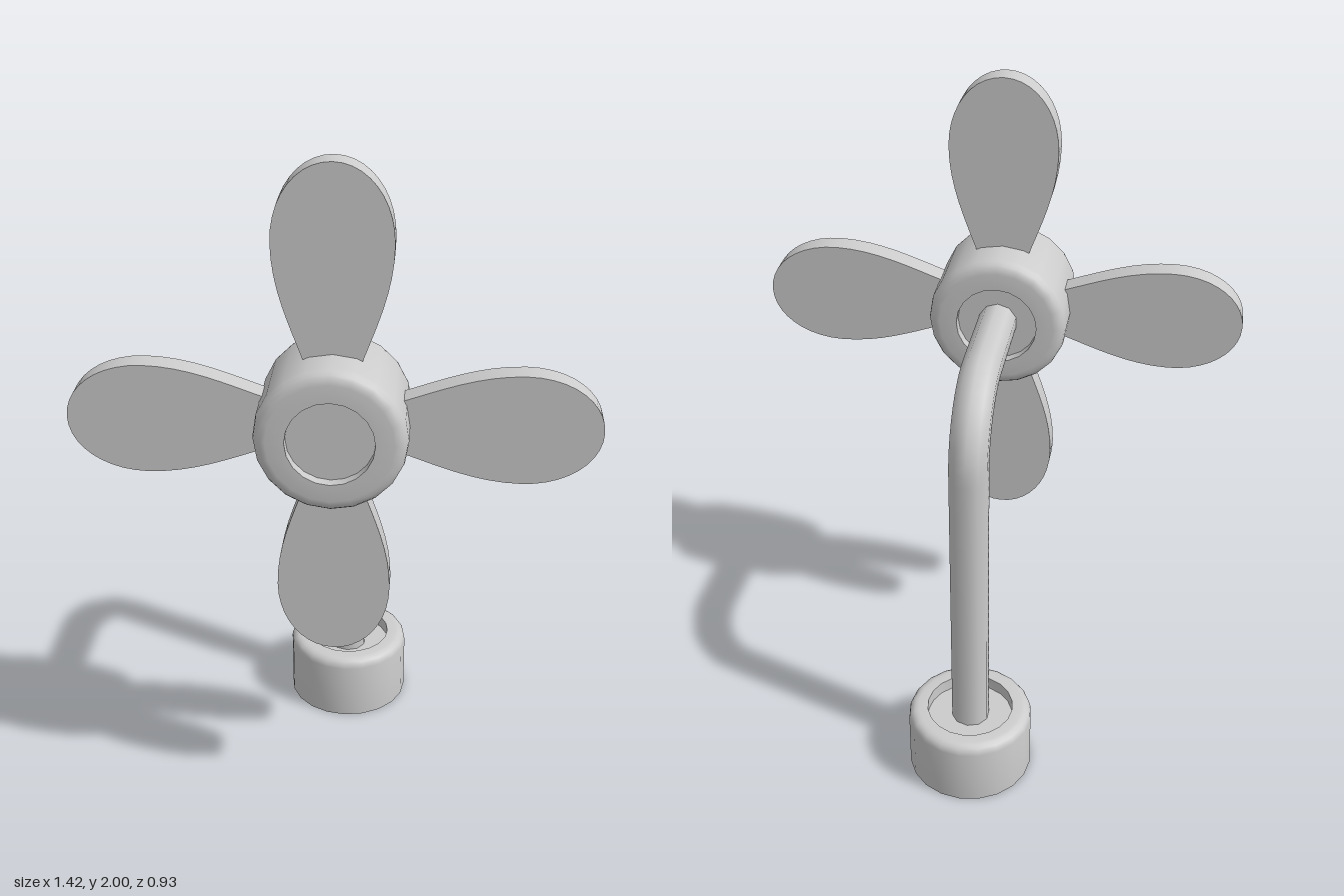
import * as THREE from 'three';
import { toCreasedNormals } from 'three/addons/utils/BufferGeometryUtils.js';

const HUB_Y = 1.292, POLE_Z = -0.27;

// Quarter-round corner points around (cx, cy)
function fillet(cx, cy, r, from, to, steps = 4) {
  return Array.from({ length: steps + 1 }, (_, i) => {
    const a = from + (to - from) * i / steps;
    return new THREE.Vector2(cx + r * Math.cos(a), cy + r * Math.sin(a));
  });
}

function lathe(points) {
  return toCreasedNormals(new THREE.LatheGeometry(points, 20), 0.6);
}

export function createModel() {
  const model = new THREE.Group();
  const grey = new THREE.MeshStandardMaterial({ color: 0xcccccc });
  grey.name = 'light grey';
  const add = (name, geometry, parent = model) => {
    const mesh = new THREE.Mesh(geometry, grey);
    mesh.name = name;
    parent.add(mesh);
    return mesh;
  };
  const v2 = (x, y) => new THREE.Vector2(x, y);
  const v3 = (y, z) => new THREE.Vector3(0, y, z);

  // Round base with a recessed top
  const base = add('base', lathe([
    v2(0, 0), v2(0.188, 0),
    ...fillet(0.158, 0.182, 0.03, 0, Math.PI / 2),
    v2(0.13, 0.212), v2(0.13, 0.172), v2(0, 0.172),
  ]));
  base.position.z = -0.278;

  // Bent pole: straight up, round bend, forward into the hub
  const bend = 0.215, k = bend * 0.448;
  const path = new THREE.CurvePath();
  path.add(new THREE.LineCurve3(v3(0.15, POLE_Z), v3(HUB_Y - bend, POLE_Z)));
  path.add(new THREE.CubicBezierCurve3(
    v3(HUB_Y - bend, POLE_Z), v3(HUB_Y - k, POLE_Z),
    v3(HUB_Y, POLE_Z + k), v3(HUB_Y, POLE_Z + bend)));
  path.add(new THREE.LineCurve3(v3(HUB_Y, POLE_Z + bend), v3(HUB_Y, 0.24)));
  add('pole', new THREE.TubeGeometry(path, 48, 0.057, 10, false));

  // Propeller: hub and four blades around its centre
  const propeller = new THREE.Group();
  propeller.name = 'propeller';
  propeller.position.set(0, HUB_Y, 0.32);
  model.add(propeller);

  // Hub recessed at both ends
  const h = 0.145, r = 0.203, f = 0.035;
  const hub = add('hub', lathe([
    v2(0, 0.03 - h), v2(0.118, 0.03 - h), v2(0.118, -h),
    ...fillet(r - f, f - h, f, -Math.PI / 2, 0),
    ...fillet(r - f, h - f, f, 0, Math.PI / 2),
    v2(0.118, h), v2(0.118, h - 0.03), v2(0, h - 0.03),
  ]), propeller);
  hub.rotation.x = Math.PI / 2;

  // Teardrop blade pointing up
  const outline = new THREE.Shape();
  outline.moveTo(-0.05, 0.1);
  outline.lineTo(0.05, 0.1);
  outline.bezierCurveTo(0.085, 0.23, 0.156, 0.35, 0.156, 0.5);
  outline.bezierCurveTo(0.156, 0.62, 0.086, 0.708, 0, 0.708);
  outline.bezierCurveTo(-0.086, 0.708, -0.156, 0.62, -0.156, 0.5);
  outline.bezierCurveTo(-0.156, 0.35, -0.085, 0.23, -0.05, 0.1);
  const bladeGeometry = toCreasedNormals(new THREE.ExtrudeGeometry(outline,
    { depth: 0.064, bevelEnabled: false, curveSegments: 10 }).translate(0, 0, -0.032), 0.6);
  for (let i = 0; i < 4; i++) {
    add('blade' + (i + 1), bladeGeometry, propeller).rotation.z = i * Math.PI / 2;
  }
  return model;
}
